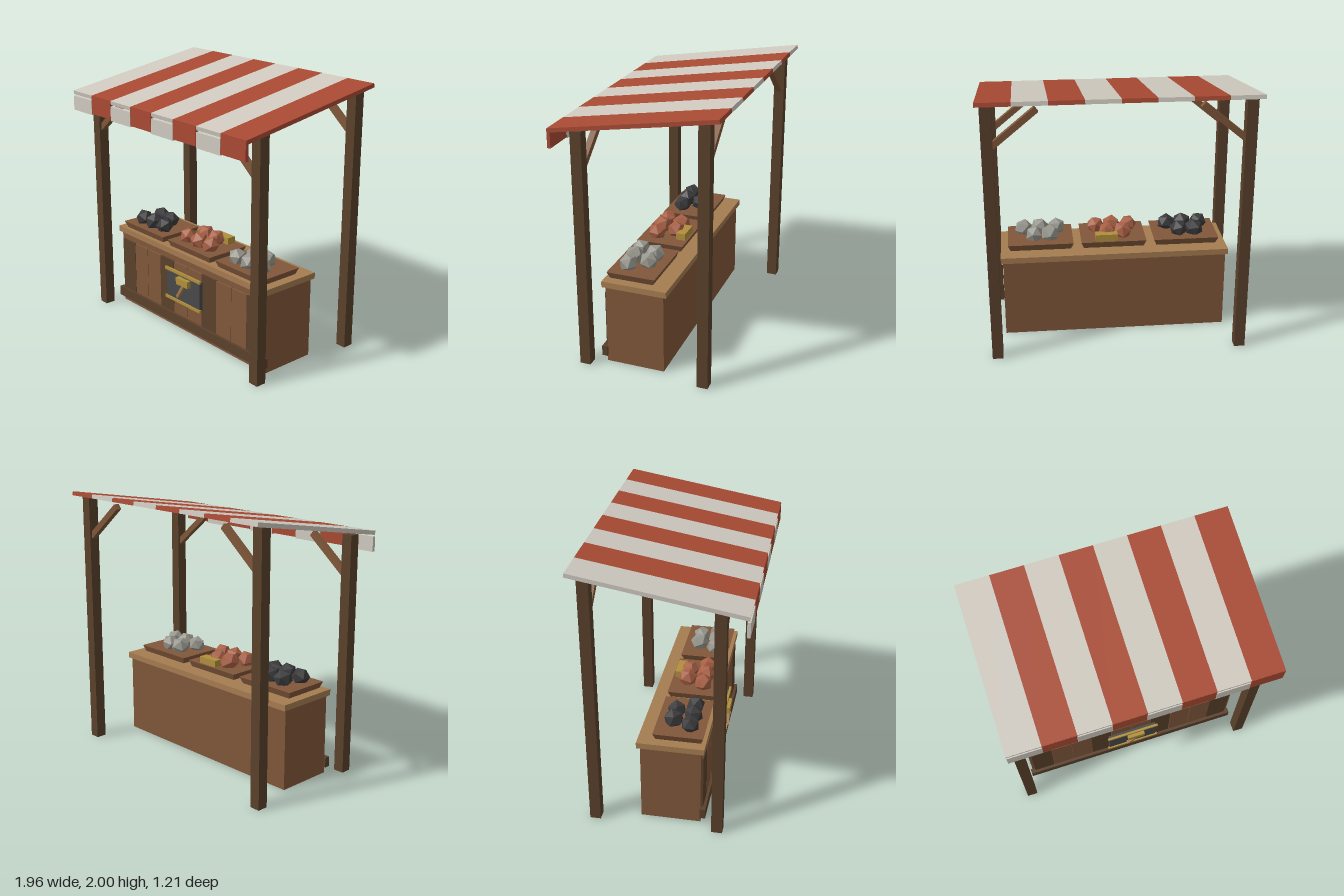
import * as THREE from 'three';

const mat = (name, color) => {
  const m = new THREE.MeshStandardMaterial({ color });
  m.name = name;
  return m;
};

export function createModel() {
  const M = {
    red: mat('red cloth', 0xa84a33),
    cream: mat('cream cloth', 0xcfc9bf),
    dark: mat('dark wood', 0x5a402b),
    wood: mat('wood', 0x80573a),
    light: mat('light wood', 0xa57c50),
    iron: mat('iron', 0x484849),
    coal: mat('coal', 0x3a3a3c),
    copper: mat('copper', 0xa86045),
    silver: mat('silver', 0x98978e),
    gold: mat('gold', 0xb18f3d),
  };
  const model = new THREE.Group();
  model.name = 'marketStall';

  const add = (name, geo, material, x, y, z, parent = model) => {
    const mesh = new THREE.Mesh(geo, material);
    mesh.name = name;
    mesh.position.set(x, y, z);
    parent.add(mesh);
    return mesh;
  };
  // box given by its low and high corners
  const box = (name, material, [x0, y0, z0], [x1, y1, z1], parent) =>
    add(name, new THREE.BoxGeometry(x1 - x0, y1 - y0, z1 - z0), material,
      (x0 + x1) / 2, (y0 + y1) / 2, (z0 + z1) / 2, parent);
  // square beam between two points in a plane of constant z
  const beam = (name, material, [x0, y0], [x1, y1], z, w, d) => {
    const m = add(name, new THREE.BoxGeometry(Math.hypot(x1 - x0, y1 - y0), w, d), material,
      (x0 + x1) / 2, (y0 + y1) / 2, z);
    m.rotation.z = Math.atan2(y1 - y0, x1 - x0);
    return m;
  };

  // Posts and diagonal braces
  for (const s of [-1, 1]) {
    for (const [label, z, h] of [['front', 0.41, 1.79], ['back', -0.49, 1.95]]) {
      add(label + 'Post', new THREE.BoxGeometry(0.08, h, 0.08), M.dark, s * 0.91, h / 2, z);
      beam(label + 'Brace', M.wood, [s * 0.89, h - 0.3], [s * 0.57, h - 0.035], z, 0.045, 0.045);
    }
  }

  // Striped awning with a hanging flap on each strip
  const awning = new THREE.Group();
  awning.name = 'awning';
  model.add(awning);
  const pitch = 0.245;
  for (let i = 0; i < 8; i++) {
    const x = (i - 3.5) * pitch;
    const isRed = i % 2 === 1;
    const cloth = isRed ? M.red : M.cream;
    const strip = add('awningStrip', new THREE.BoxGeometry(pitch, 0.03, 1.217), cloth, x, 1.885, 0, awning);
    strip.rotation.x = Math.atan2(0.2, 1.2);
    const [y0, y1] = isRed ? [1.66, 1.795] : [1.65, 1.76];
    box('awningFlap', cloth, [x - 0.121, y0, 0.58], [x + 0.121, y1, 0.604], awning);
  }

  // Counter
  box('counterBody', M.wood, [-0.85, 0, -0.165], [0.85, 0.61, 0.275]);
  box('counterTop', M.light, [-0.865, 0.61, -0.19], [0.865, 0.655, 0.3]);
  box('baseRail', M.dark, [-0.865, 0.045, 0.27], [0.865, 0.122, 0.312]);
  for (let i = 0; i < 10; i++) {
    const x = (i - 4.5) * 0.166;
    box('frontPlank', i % 3 ? M.wood : M.dark, [x - 0.081, 0.12, 0.27], [x + 0.081, 0.55, 0.29]);
  }

  // Sign with gold bars and a hammer
  box('signPlate', M.iron, [-0.195, 0.27, 0.305], [0.195, 0.495, 0.335]);
  for (const y of [0.27, 0.505]) {
    box('signBar', M.gold, [-0.208, y - 0.011, 0.328], [0.208, y + 0.011, 0.345]);
  }
  box('hammerHead', M.gold, [-0.047, 0.425, 0.335], [0.09, 0.48, 0.367]);
  beam('hammerHandle', M.light, [-0.045, 0.315], [0.03, 0.43], 0.35, 0.022, 0.026);

  // Trays flare towards the top
  const trayGeo = new THREE.BoxGeometry(0.5, 0.05, 0.365);
  const p = trayGeo.attributes.position;
  for (let i = 0; i < p.count; i++) {
    if (p.getY(i) < 0) p.setXYZ(i, p.getX(i) * 0.92, p.getY(i), p.getZ(i) * 0.9);
  }
  trayGeo.computeVertexNormals();

  // Ore heaps: three faceted lumps in front, two behind
  const lumps = [
    [-0.13, 0.07, 0.07], [0, 0.07, 0.075], [0.125, 0.065, 0.071],
    [-0.075, -0.06, 0.075], [0.045, -0.06, 0.071],
  ];
  const wares = [['coal', M.coal, -0.56], ['copper', M.copper, 0], ['silver', M.silver, 0.56]];
  wares.forEach(([label, material, cx], k) => {
    add(label + 'Tray', trayGeo, M.wood, cx, 0.68, 0.1);
    lumps.forEach(([x, z, r], i) => {
      const lump = add(label + 'Lump', new THREE.IcosahedronGeometry(r, 0), material, cx + x, 0.74, 0.1 + z);
      lump.rotation.set(0.3 * i + 0.4 * k, 1.1 * i + 0.7 * k, 0.2 * i);
    });
  });
  box('goldBar', M.gold, [-0.03, 0.705, -0.065], [0.14, 0.757, 0.005]);

  return model;
}
